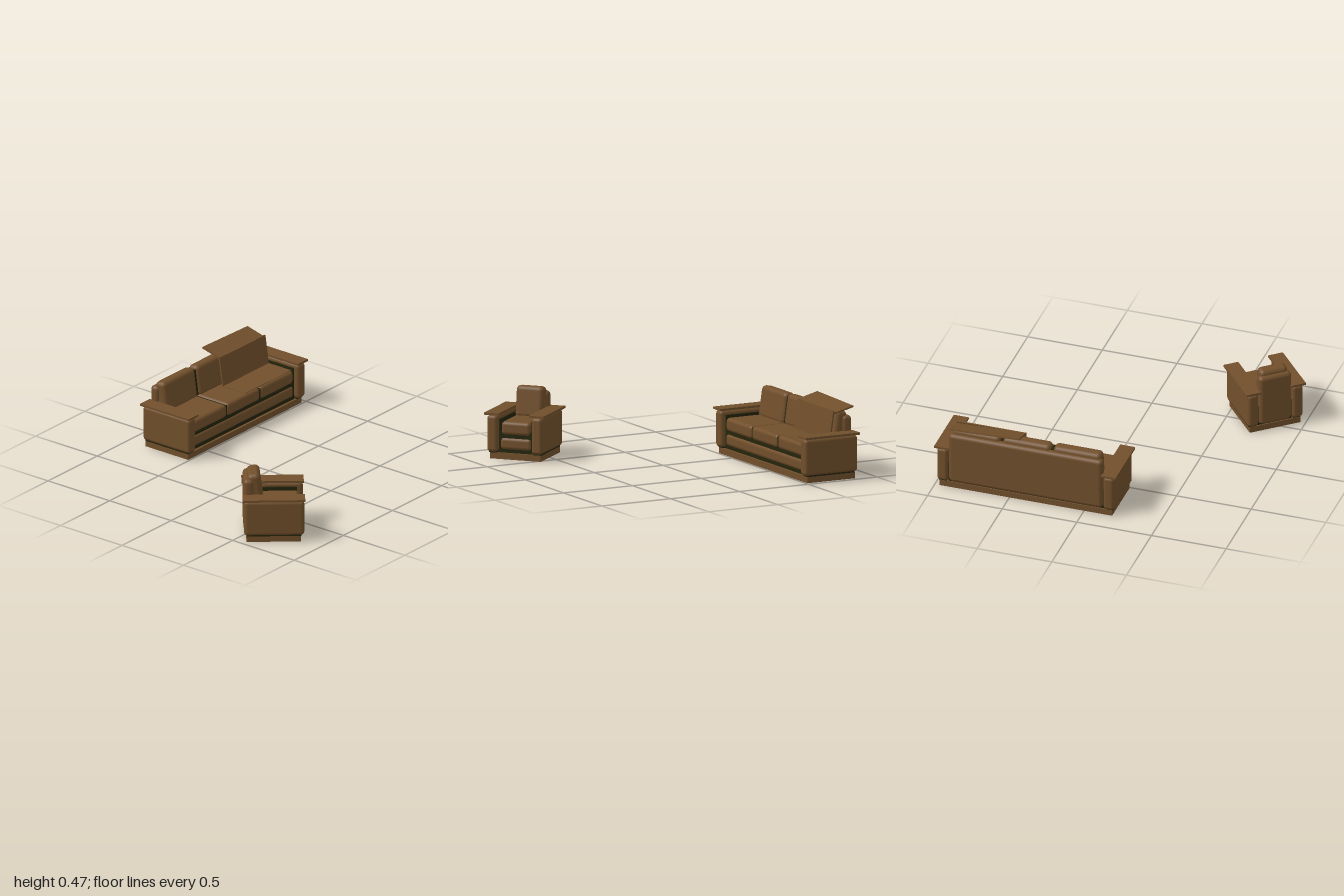
import * as THREE from 'three';
import { RoundedBoxGeometry } from 'three/addons/geometries/RoundedBoxGeometry.js';

const leather = new THREE.MeshStandardMaterial({ color: 0x714f2b });
leather.name = 'brown leather';
const shade = new THREE.MeshStandardMaterial({ color: 0x24240c });
shade.name = 'dark seam';

// Box (rounded when r > 0) given by its size and centre
function block(parent, name, size, pos, r = 0, material = leather) {
  const [w, h, d] = size;
  const geometry = r > 0 ? new RoundedBoxGeometry(w, h, d, 4, r) : new THREE.BoxGeometry(w, h, d);
  const mesh = new THREE.Mesh(geometry, material);
  mesh.name = name;
  mesh.position.set(...pos);
  parent.add(mesh);
  return mesh;
}

// Seat of a given total width with a number of cushions, centred on its own origin
function createSeat(name, width, cushions) {
  const seat = new THREE.Group();
  seat.name = name;
  const inner = width - 0.19;

  // Plinth and the dark lining that shows between the cushions
  block(seat, 'plinth', [width - 0.06, 0.04, 0.345], [0, 0.02, -0.003]);
  block(seat, 'lining', [inner + 0.02, 0.14, 0.32], [0, 0.11, -0.007], 0, shade);

  // Arms with flat boards on top, dark seams below and beside them
  for (const side of [-1, 1]) {
    const x = side * (width / 2 - 0.051);
    block(seat, 'arm', [0.072, 0.237, 0.383], [x, 0.164, 0], 0.022);
    block(seat, 'armBoard', [0.1, 0.014, 0.395], [side * (width / 2 - 0.05), 0.292, 0]);
    block(seat, 'armUnderside', [0.05, 0.012, 0.345], [x, 0.046, 0], 0, shade);
    block(seat, 'armSeam', [0.012, 0.2, 0.31], [side * (inner / 2 + 0.004), 0.155, 0], 0, shade);
  }

  // Lower front cushion and back panel
  block(seat, 'seatBase', [inner, 0.082, 0.325], [0, 0.099, 0], 0.025);
  block(seat, 'backPanel', [inner + 0.005, 0.35, 0.065], [0, 0.222, -0.16], 0.026);

  // Seat and back cushions
  const pitch = (inner - 0.01) / cushions;
  for (let i = 0; i < cushions; i++) {
    const x = (i - (cushions - 1) / 2) * pitch;
    block(seat, 'seatCushion', [pitch - 0.006, 0.087, 0.27], [x, 0.199, 0.03], 0.024);
    const back = block(seat, 'backCushion', [pitch - 0.016, 0.207, 0.082], [x, 0.326, -0.116], 0.03);
    back.rotation.x = -0.14;
    // Dark seams between neighbouring cushions
    if (i > 0) {
      block(seat, 'seatSeam', [0.012, 0.07, 0.25], [x - pitch / 2, 0.197, 0.03], 0, shade);
      const seam = block(seat, 'backSeam', [0.02, 0.17, 0.05], [x - pitch / 2, 0.32, -0.116], 0, shade);
      seam.rotation.x = -0.14;
    }
  }
  return seat;
}

// Folded throw: seat sheet, leaning front sheet and tilted top sheet
function createThrow() {
  const cover = new THREE.Group();
  cover.name = 'throw';
  const x = 0.657, w = 0.465;
  block(cover, 'throwSeat', [w, 0.006, 0.2], [x, 0.242, -0.635]);
  const front = block(cover, 'throwFront', [w, 0.19, 0.01], [x, 0.338, -0.733]);
  front.rotation.x = -0.15;
  const top = block(cover, 'throwTop', [w, 0.01, 0.142], [x, 0.44, -0.818]);
  top.rotation.set(0.25, 0, -0.035);
  return cover;
}

export function createModel() {
  const model = new THREE.Group();
  model.name = 'sofaAndArmchair';

  const sofa = createSeat('sofa', 1.215, 3);
  sofa.position.set(0.39, 0, -0.68);

  const chair = createSeat('armchair', 0.405, 1);
  chair.position.set(-0.72, 0, 0.607);
  chair.rotation.y = 0.705;

  model.add(sofa, chair, createThrow());
  return model;
}
